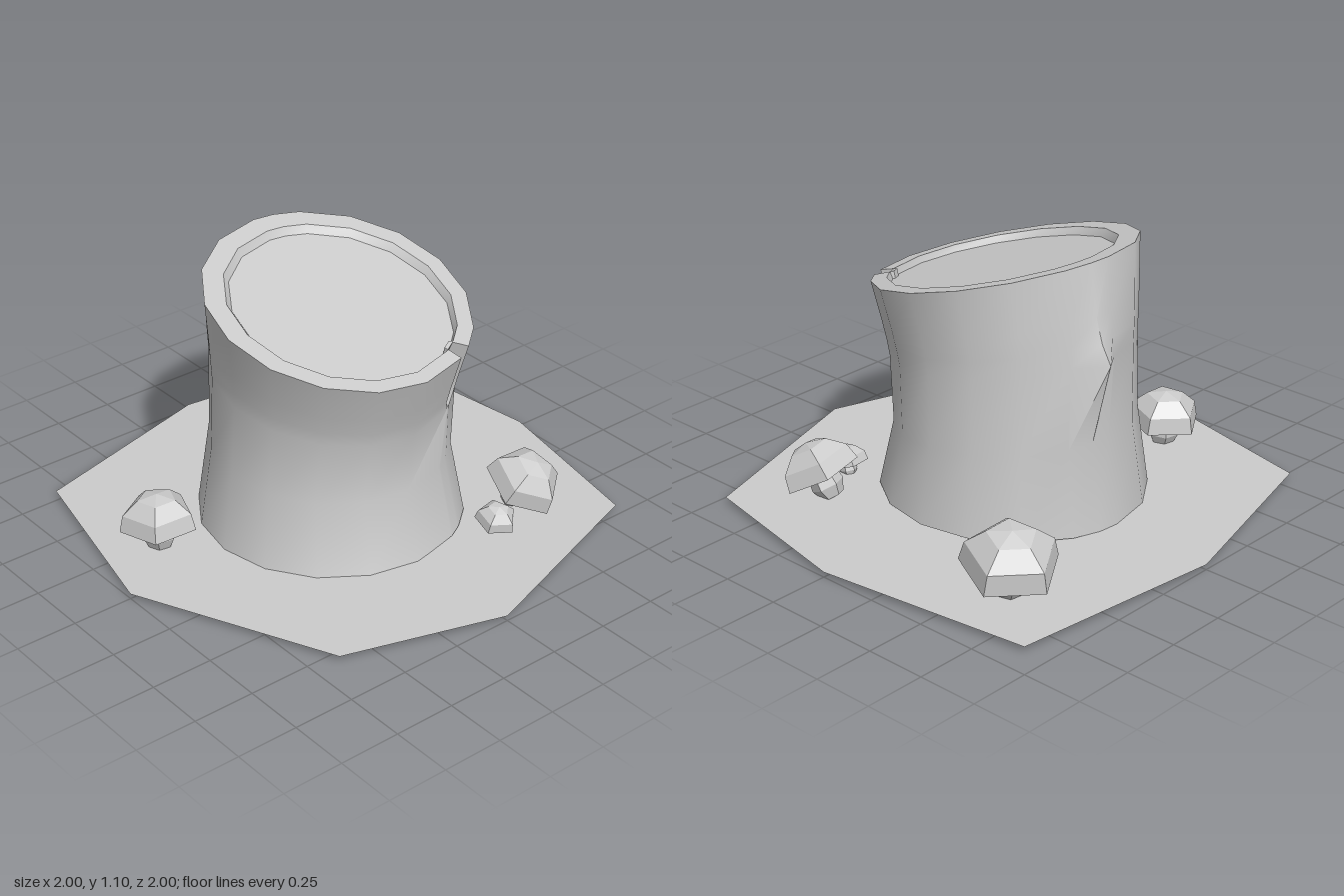
import * as THREE from 'three';
import { toCreasedNormals } from 'three/addons/utils/BufferGeometryUtils.js';

const grey = () => new THREE.MeshStandardMaterial({ color: 0xcccccc, side: THREE.DoubleSide });
const flatGrey = () => new THREE.MeshStandardMaterial({ color: 0xcccccc, flatShading: true });
const rad = THREE.MathUtils.degToRad;

// Irregular flat patch of ground
function makeGround() {
  const outline = [[-0.9, -0.89], [-1, 0], [-0.78, 0.82], [0, 1], [0.8, 0.64], [1, 0], [0.72, -0.85], [0, -1]];
  const shape = new THREE.Shape(outline.map(([x, z]) => new THREE.Vector2(x, -z)));
  const mesh = new THREE.Mesh(new THREE.ShapeGeometry(shape).rotateX(-Math.PI / 2), grey());
  mesh.position.y = 0.03;
  mesh.name = 'groundPatch';
  return mesh;
}

// Hollow stump: oval rings from the base, over the slanted rim, to the recessed top
function makeStump() {
  // f: share of the rim height, ext: xMin xMax zMin zMax, drop: depth below the rim
  const rows = [
    { f: 0, ext: [-0.55, 0.52, -0.51, 0.55] },
    { f: 0.33, ext: [-0.51, 0.437, -0.475, 0.487] },
    { f: 0.64, ext: [-0.51, 0.465, -0.462, 0.478], knot: 0.095 },
    { f: 0.71, ext: [-0.508, 0.48, -0.465, 0.487], knot: 0.045, notch: 0.05 },
    { f: 0.8, ext: [-0.503, 0.502, -0.472, 0.5], knot: 0.015, notch: 0.065 },
    { f: 1, ext: [-0.48, 0.555, -0.49, 0.54], notch: 0.075 },
    { f: 1, ext: [-0.4, 0.495, -0.42, 0.46] },
    { f: 1, ext: [-0.385, 0.487, -0.4, 0.44], drop: 0.03 },
    { f: 1, ext: [0.05, 0.05, 0.02, 0.02], drop: 0.03 },
  ];
  // Even columns, with extra ones for the knot (190) and the notch (327 to 337)
  const cols = [];
  for (let i = 0; i < 15; i++) cols.push({ a: i * 22.5 });
  cols[8].knot = 0.2;
  cols.splice(9, 0, { a: 190, knot: 1 });
  cols.push({ a: 327.7 }, { a: 329.5, notch: 1 }, { a: 335, notch: 1 }, { a: 336.5 });

  const n = cols.length, pos = [], index = [];
  rows.forEach((row, r) => {
    const [x0, x1, z0, z1] = row.ext;
    for (const col of cols) {
      // the notch narrows to a tip at its lower end
      const deg = r === 2 && col.a > 320 ? THREE.MathUtils.lerp(col.a, 332, 0.75) : col.a;
      const c = Math.cos(rad(deg)), s = Math.sin(rad(deg));
      const push = (row.knot || 0) * (col.knot || 0) - (row.notch || 0) * (col.notch || 0);
      const x = (x0 + x1) / 2 + c * ((x1 - x0) / 2 + push);
      const z = (z0 + z1) / 2 + s * ((z1 - z0) / 2 + push);
      const base = 0.028 - 0.015 * s;
      const rim = 0.984 - 0.262 * x;
      pos.push(x, base + (rim - base) * row.f - (row.drop || 0), z);
    }
    if (r === rows.length - 1) return;
    for (let i = 0; i < n; i++) {
      const a = r * n + i, b = r * n + (i + 1) % n;
      index.push(a, a + n, b);
      if (r < rows.length - 2) index.push(b, a + n, b + n);
    }
  });
  const geo = new THREE.BufferGeometry();
  geo.setAttribute('position', new THREE.Float32BufferAttribute(pos, 3));
  geo.setIndex(index);
  const mesh = new THREE.Mesh(toCreasedNormals(geo, 0.65), grey());
  mesh.name = 'stump';
  return mesh;
}

// Low-poly mushroom, drawn with a cap radius of 1 and then scaled
function makeMushroom(name, [x, y, z], size, turn, tiltX, tiltZ) {
  const lathe = (part, profile, sides) => {
    const points = profile.map(([r, h]) => new THREE.Vector2(r, h));
    const mesh = new THREE.Mesh(new THREE.LatheGeometry(points, sides), flatGrey());
    mesh.name = part;
    mesh.rotation.y = rad(turn);
    return mesh;
  };
  const g = new THREE.Group();
  g.add(
    lathe('stem', [[0, 0], [0.28, 0], [0.42, 0.3], [0.36, 0.75]], 6),
    lathe('cap', [[0, 0.72], [1, 0.62], [0.9, 1.05], [0.5, 1.39], [0, 1.5]], 5),
  );
  g.name = name;
  g.position.set(x, y, z);
  g.rotation.set(tiltX, 0, tiltZ);
  g.scale.setScalar(size);
  return g;
}

export function createModel() {
  const model = new THREE.Group();
  model.name = 'treeStump';
  model.add(
    makeGround(),
    makeStump(),
    makeMushroom('frontMushroom', [-0.205, 0.02, 0.715], 0.155, 50.5, 0, 0.06),
    makeMushroom('largeMushroom', [-0.595, 0.025, -0.64], 0.193, 49, -0.12, 0.17),
    makeMushroom('backMushroom', [0.425, 0.03, -0.55], 0.158, 26, -0.2, -0.45),
    makeMushroom('smallMushroom', [0.525, 0.015, -0.365], 0.085, 28, 0, -0.25),
  );
  return model;
}
